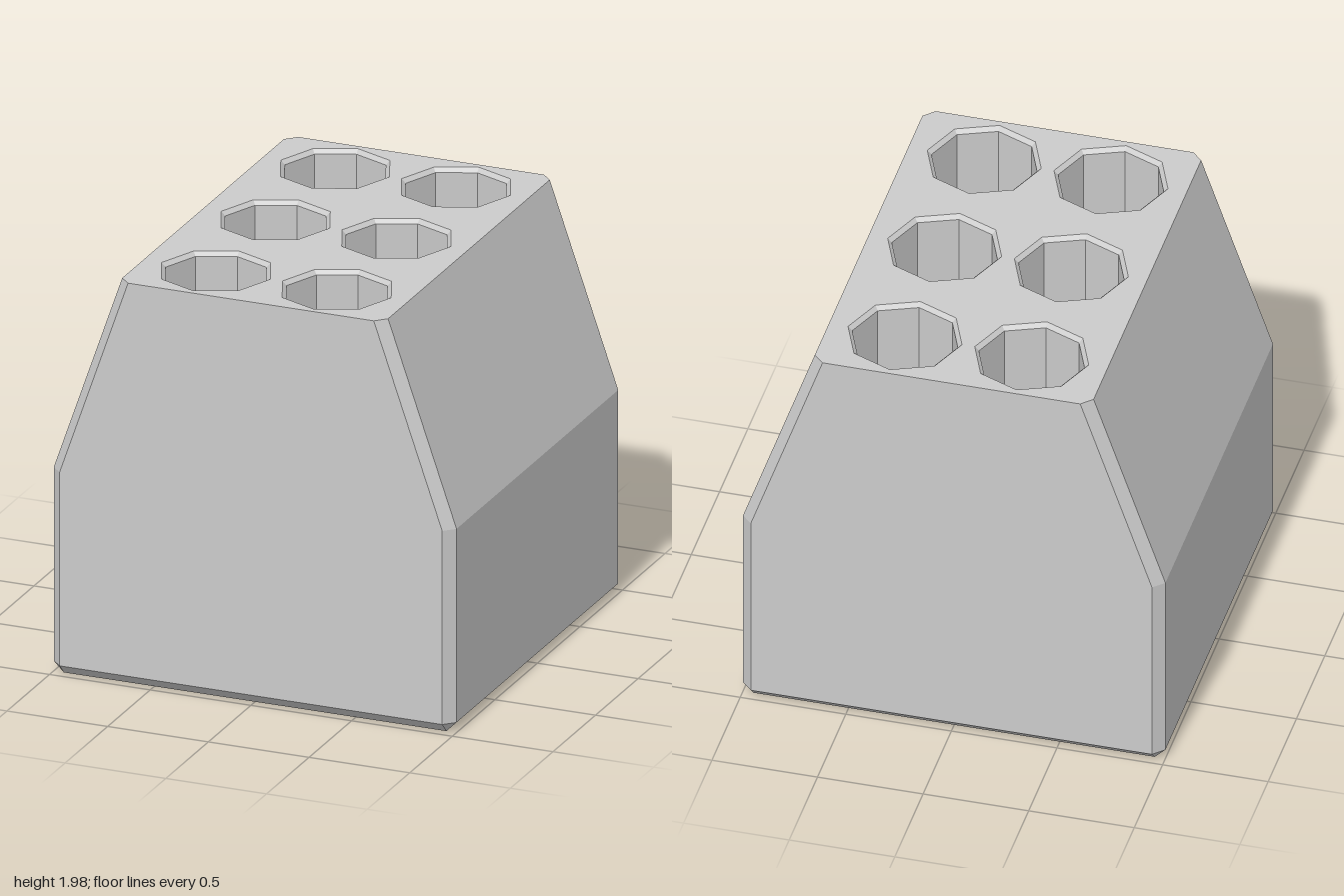
import * as THREE from 'three';

const TOP = 1.98, BEVEL = 0.05;
const HOLE_RADIUS = 0.27, HOLE_BEVEL = 0.02, HOLE_DEPTH = 1;
const material = new THREE.MeshStandardMaterial({ color: 0xcccccc, flatShading: true });

// Rectangle with cut corners, as [x, z] points counter-clockwise from above
function cutRect(w, d, cx, cz) {
  return [
    [w, d - cz], [w, -d + cz], [w - cx, -d], [-w + cx, -d],
    [-w, -d + cz], [-w, d - cz], [-w + cx, d], [w - cx, d],
  ];
}

// Regular octagon in the same winding
function octagon(r, x = 0, z = 0) {
  return Array.from({ length: 8 }, (_, i) => {
    const a = (i * Math.PI) / 4;
    return [x + r * Math.cos(a), z - r * Math.sin(a)];
  });
}

// Skin between successive rings: faces outward going up, inward going down
function loft(rings) {
  const positions = [];
  for (let k = 0; k < rings.length - 1; k++) {
    const [lo, hi] = [rings[k], rings[k + 1]];
    const n = lo.points.length;
    for (let i = 0; i < n; i++) {
      const j = (i + 1) % n;
      const at = (ring, m) => [ring.points[m][0], ring.y, ring.points[m][1]];
      const a = at(lo, i), b = at(lo, j), c = at(hi, j), d = at(hi, i);
      const same = (p, q) => p.every((v, m) => v === q[m]);
      if (!same(a, b)) positions.push(...a, ...b, ...c);
      if (!same(c, d)) positions.push(...a, ...c, ...d);
    }
  }
  const geometry = new THREE.BufferGeometry();
  geometry.setAttribute('position', new THREE.Float32BufferAttribute(positions, 3));
  geometry.computeVertexNormals();
  return geometry;
}

export function createModel() {
  const group = new THREE.Group();
  group.name = 'holderBlock';
  const add = (name, geometry) => {
    const mesh = new THREE.Mesh(geometry, material);
    mesh.name = name;
    group.add(mesh);
    return mesh;
  };

  // Body: closed base, bevelled foot, straight walls, then tapering sides
  const inner = 1 - BEVEL;
  const topRing = cutRect(0.66, 1, BEVEL, BEVEL);
  add('body', loft([
    { y: 0, points: cutRect(0, 0, 0, 0) },
    { y: 0, points: cutRect(inner, inner, 0, 0) },
    { y: BEVEL, points: cutRect(1, 1, BEVEL, BEVEL) },
    { y: 1, points: cutRect(1, 1, BEVEL, BEVEL) },
    { y: TOP, points: topRing },
  ]));

  // Top plate pierced by two columns of three sockets
  const toVectors = (points) => points.map(([x, z]) => new THREE.Vector2(x, -z));
  const topShape = new THREE.Shape(toVectors(topRing));

  // Socket: bevelled rim, straight walls and flat floor
  const r = HOLE_RADIUS - HOLE_BEVEL;
  const socketGeometry = loft([
    { y: 0, points: octagon(HOLE_RADIUS) },
    { y: -HOLE_BEVEL, points: octagon(r) },
    { y: -HOLE_DEPTH, points: octagon(r) },
    { y: -HOLE_DEPTH, points: octagon(0) },
  ]);

  for (const x of [-0.3, 0.3]) {
    for (const z of [-0.7, 0, 0.7]) {
      topShape.holes.push(new THREE.Path(toVectors(octagon(HOLE_RADIUS, x, z))));
      add('socket', socketGeometry).position.set(x, TOP, z);
    }
  }
  const topGeometry = new THREE.ShapeGeometry(topShape);
  topGeometry.rotateX(-Math.PI / 2);
  topGeometry.translate(0, TOP, 0);
  add('topPlate', topGeometry);

  return group;
}
